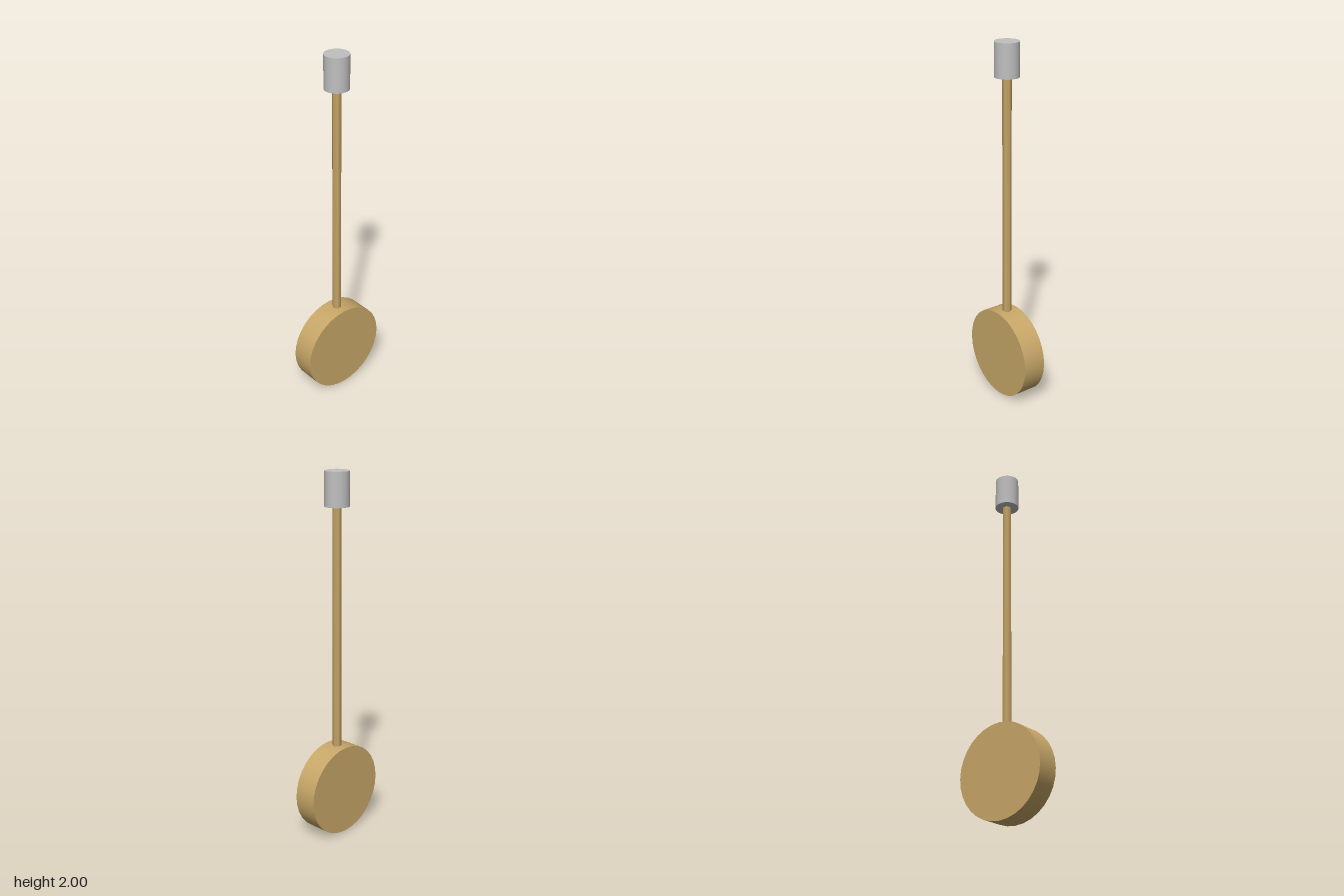
import * as THREE from 'three';

export function createModel() {
  const model = new THREE.Group();
  model.name = 'pendulum';

  const brass = new THREE.MeshStandardMaterial({ color: 0xc8a768 });
  brass.name = 'brass';
  const steel = new THREE.MeshStandardMaterial({ color: 0xc0c0c0 });
  steel.name = 'steel';

  const addCylinder = (name, radius, height, sides, y, material) => {
    const mesh = new THREE.Mesh(new THREE.CylinderGeometry(radius, radius, height, sides), material);
    mesh.name = name;
    mesh.position.y = y;
    model.add(mesh);
    return mesh;
  };

  // Round weight, its flat faces towards front and back
  const bobRadius = 0.2525;
  addCylinder('bob', bobRadius, 0.131, 32, bobRadius, brass).rotation.x = Math.PI / 2;

  // Thin six-sided rod, from inside the bob up into the pivot
  const rodBottom = 0.48, rodTop = 1.84;
  addCylinder('rod', 0.0245, rodTop - rodBottom, 6, (rodTop + rodBottom) / 2, brass).rotation.y = Math.PI / 2;

  // Upright pivot cap
  addCylinder('pivot', 0.0655, 0.18, 24, 1.91, steel);

  return model;
}
